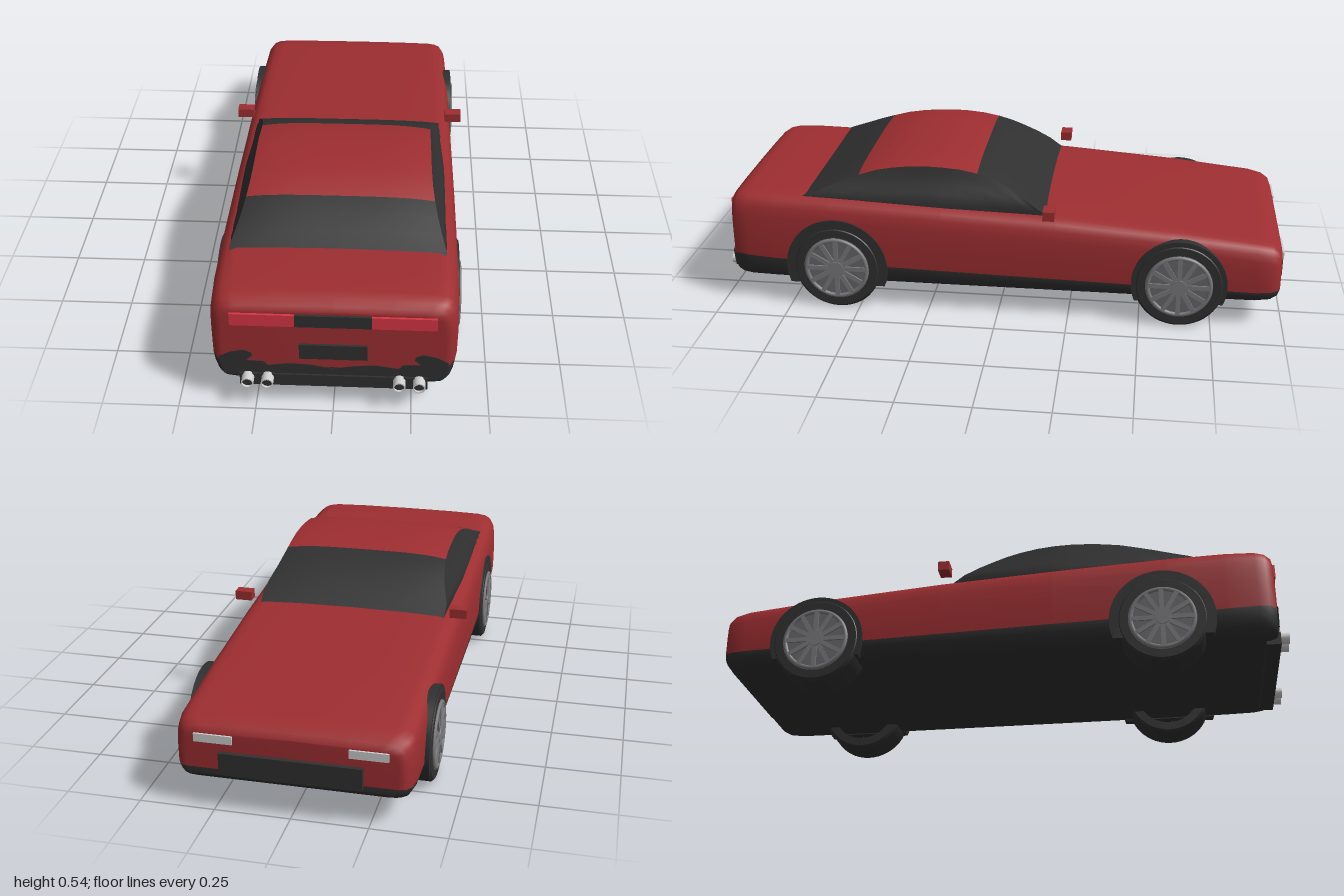
import * as THREE from 'three';
import { toCreasedNormals } from 'three/addons/utils/BufferGeometryUtils.js';

const mat = (name, color, side = THREE.FrontSide) => {
  const m = new THREE.MeshStandardMaterial({ color, side });
  m.name = name;
  return m;
};

export function createModel() {
  const car = new THREE.Group();
  car.name = 'car';
  const red = mat('red paint', 0x9e2e31);
  const black = mat('black trim', 0x303030);
  const lampRed = mat('tail lamp red', 0xd83545);
  const rimGrey = mat('wheel grey', 0x7a7a7d);
  const rimDark = mat('wheel dark grey', 0x68686b);
  const silver = mat('silver', 0xcfcfcf, THREE.DoubleSide);

  const add = (name, geometry, material, x = 0, y = 0, z = 0, parent = car) => {
    const mesh = new THREE.Mesh(geometry, material);
    mesh.name = name;
    mesh.position.set(x, y, z);
    parent.add(mesh);
    return mesh;
  };
  const box = (name, m, w, h, d, x, y, z, parent) =>
    add(name, new THREE.BoxGeometry(w, h, d), m, x, y, z, parent);

  // Skin over rows of points; isDark(i, j) picks the second material
  const skin = (rows, closed, isDark) => {
    const n = rows[0].length;
    const faces = [[], []];
    for (let i = 0; i < rows.length - 1; i++) {
      for (let j = 0; j < (closed ? n : n - 1); j++) {
        const k = (j + 1) % n;
        const a = i * n + j, b = a + n, c = i * n + k, d = c + n;
        faces[isDark(i, j) ? 1 : 0].push(a, b, c, c, b, d);
      }
    }
    const g = new THREE.BufferGeometry();
    g.setAttribute('position', new THREE.Float32BufferAttribute(rows.flat(2), 3));
    g.setIndex(faces.flat());
    g.addGroup(0, faces[0].length, 0);
    g.addGroup(faces[0].length, faces[1].length, 1);
    g.computeVertexNormals();
    return g;
  };

  // Body: half section, upper points as [width, share of paint height], lower as [width, share of skirt]
  const upper = [[0, 1], [0.5, 0.995], [0.82, 0.98], [0.9, 0.955], [0.95, 0.9], [0.98, 0.8], [0.995, 0.65], [1, 0.4], [0.998, 0]];
  const lower = [[0.985, 0.6], [0.96, 0.25], [0.92, 0.06], [0.85, 0], [0, 0]];
  // z, half width, top, paint line, bottom
  const stations = [
    [-0.985, 0, 0.268, 0.14, 0.118], [-0.985, 0.34, 0.268, 0.14, 0.118], [-0.976, 0.362, 0.288, 0.138, 0.105],
    [-0.95, 0.378, 0.303, 0.136, 0.094], [-0.9, 0.386, 0.314, 0.136, 0.09], [-0.6, 0.391, 0.345, 0.143, 0.09],
    [-0.2, 0.394, 0.375, 0.152, 0.09], [0.2, 0.397, 0.396, 0.161, 0.09], [0.6, 0.398, 0.414, 0.17, 0.09],
    [0.8, 0.397, 0.419, 0.178, 0.09], [0.9, 0.392, 0.418, 0.183, 0.09], [0.935, 0.385, 0.411, 0.185, 0.093],
    [0.955, 0.373, 0.398, 0.18, 0.1], [0.962, 0.352, 0.38, 0.155, 0.11], [0.962, 0, 0.38, 0.155, 0.11],
  ];
  const bodyRows = stations.map(([z, w, top, line, low]) => {
    const half = [
      ...upper.map(([u, t]) => [u * w, line + t * (top - line), z]),
      ...lower.map(([u, t]) => [u * w, low + t * (line - low), z]),
    ];
    const mirror = half.slice(1, -1).reverse().map(([x, y, q]) => [-x, y, q]);
    return [...half, ...mirror];
  });
  const ring = bodyRows[0].length;
  const last = upper.length - 1;
  add('body', skin(bodyRows, true, (i, j) => j >= last && j < ring - last), [red, black]);

  // Cabin: centre line heights, flaring in width towards the base
  const spine = [
    [-0.17, 0.368], [-0.12, 0.408], [-0.07, 0.444], [-0.02, 0.474], [0.03, 0.499], [0.08, 0.516],
    [0.14, 0.529], [0.2, 0.535], [0.26, 0.537], [0.32, 0.534], [0.38, 0.527], [0.44, 0.515],
    [0.5, 0.495], [0.56, 0.472], [0.62, 0.445], [0.68, 0.418], [0.74, 0.393],
  ];
  const clamp = THREE.MathUtils.clamp;
  const cabinWidth = (y, z) =>
    0.303 + 0.052 * clamp((0.53 - y) / 0.12, 0, 1) ** 1.5 - 0.015 * clamp((0.2 - z) / 0.35, 0, 1);
  const edgeHeight = (h) => h - 0.1 * Math.max(h - 0.365, 0);
  const topRows = spine.map(([z, h]) => {
    const e = edgeHeight(h), w = cabinWidth(e, z), row = [];
    for (let k = -8; k <= 8; k++) {
      const u = Math.sin((k / 8) * Math.PI / 2);
      row.push([u * w, h - (h - e) * u ** 4, z]);
    }
    return row;
  });
  add('roof and screens', skin(topRows, false, (i) => spine[i][0] < 0.079 || spine[i][0] > 0.499), [red, black]);
  for (const s of [1, -1]) {
    const sideRows = spine.map(([z, h]) => {
      const e = edgeHeight(h), row = [];
      for (let k = 0; k <= 6; k++) {
        const y = e + (0.35 - e) * (k / 6);
        row.push([s * cabinWidth(y, z), y, z]);
      }
      return s > 0 ? row : row.reverse();
    });
    add('sideWindow', skin(sideRows, false, () => true), [red, black]);
  }

  // Wheels, with the axle along x and the outer face towards +x
  const tyreProfile = [[0.116, -0.067], [0.146, -0.067], [0.155, -0.058], [0.155, 0.058], [0.146, 0.067], [0.116, 0.067], [0.116, -0.067]]
    .map(([r, a]) => new THREE.Vector2(r, a));
  const tyreGeo = toCreasedNormals(new THREE.LatheGeometry(tyreProfile, 48), 0.6).rotateZ(-Math.PI / 2);
  const discGeo = new THREE.CylinderGeometry(0.117, 0.117, 0.006, 40).rotateZ(-Math.PI / 2);
  const lipGeo = new THREE.TorusGeometry(0.108, 0.008, 8, 48).rotateY(Math.PI / 2);
  const hubGeo = new THREE.CylinderGeometry(0.026, 0.03, 0.012, 24).rotateZ(-Math.PI / 2);
  const spokeGeo = new THREE.BoxGeometry(0.008, 0.085, 0.016).translate(0, 0.064, 0);
  for (const [z, archRadius, label] of [[0.575, 0.182, 'rear'], [-0.635, 0.166, 'front']]) {
    const cut = Math.asin(0.065 / archRadius);
    const archShape = new THREE.Shape();
    archShape.absarc(0, 0, archRadius, -cut, Math.PI + cut, false);
    const archGeo = new THREE.ExtrudeGeometry(archShape, { depth: 0.04, bevelEnabled: false, curveSegments: 40 })
      .translate(0, 0, -0.02).rotateY(Math.PI / 2);
    for (const s of [1, -1]) {
      add(label + 'WheelArch', archGeo, black, s * 0.381, 0.155, z);
      const wheel = new THREE.Group();
      wheel.name = label + 'Wheel';
      wheel.position.set(s * 0.337, 0.155, z);
      wheel.rotation.y = s > 0 ? 0 : Math.PI;
      car.add(wheel);
      add('tyre', tyreGeo, black, 0, 0, 0, wheel);
      add('rimDisc', discGeo, rimDark, 0.065, 0, 0, wheel);
      add('rimLip', lipGeo, rimGrey, 0.067, 0, 0, wheel);
      add('hub', hubGeo, rimGrey, 0.07, 0, 0, wheel);
      for (let k = 0; k < 12; k++) {
        add('spoke', spokeGeo, rimGrey, 0.07, 0, 0, wheel).rotation.x = (k * Math.PI) / 6;
      }
    }
  }

  // Tail: lamps, centre panel, number plate recess and bumper bar
  box('tailPanel', black, 0.24, 0.045, 0.012, 0, 0.348, 0.964);
  box('rearPlate', black, 0.216, 0.057, 0.01, 0, 0.223, 0.965);
  box('rearBar', black, 0.6, 0.046, 0.05, 0, 0.102, 0.945);

  // Ragged dark edging across the lower tail
  const edging = [[0.365, 0.186], [0.33, 0.208], [0.285, 0.219], [0.26, 0.208], [0.258, 0.195], [0.278, 0.176],
    [0.222, 0.173], [0.208, 0.157], [0.14, 0.168], [0.07, 0.164], [0, 0.15]];
  const outline = [...edging, ...edging.slice(0, -1).reverse().map(([x, y]) => [-x, y]), [-0.35, 0.12], [0.35, 0.12]];
  const edgeShape = new THREE.Shape(outline.map(([x, y]) => new THREE.Vector2(x, y)));
  add('rearEdging', new THREE.ExtrudeGeometry(edgeShape, { depth: 0.005, bevelEnabled: false }), black, 0, 0, 0.959);

  // Nose grille
  box('grille', black, 0.46, 0.075, 0.03, 0, 0.167, -0.985);

  // Mirrored fittings
  const pipeGeo = new THREE.CylinderGeometry(0.02, 0.02, 0.05, 24, 1, true).rotateX(Math.PI / 2);
  const pipeRimGeo = new THREE.RingGeometry(0.016, 0.02, 24);
  const pipeCoreGeo = new THREE.CircleGeometry(0.018, 24);
  for (const s of [1, -1]) {
    box('tailLamp', lampRed, 0.203, 0.045, 0.012, s * 0.2215, 0.348, 0.964);
    box('headlamp', silver, 0.125, 0.028, 0.016, s * 0.248, 0.248, -0.984);
    box('mirror', red, 0.06, 0.033, 0.04, s * 0.395, 0.403, -0.18);
    for (const x of [0.21, 0.273]) {
      add('exhaustPipe', pipeGeo, silver, s * x, 0.11, 0.975);
      add('exhaustRim', pipeRimGeo, silver, s * x, 0.11, 1);
      add('exhaustCore', pipeCoreGeo, black, s * x, 0.11, 0.99);
    }
  }
  return car;
}
